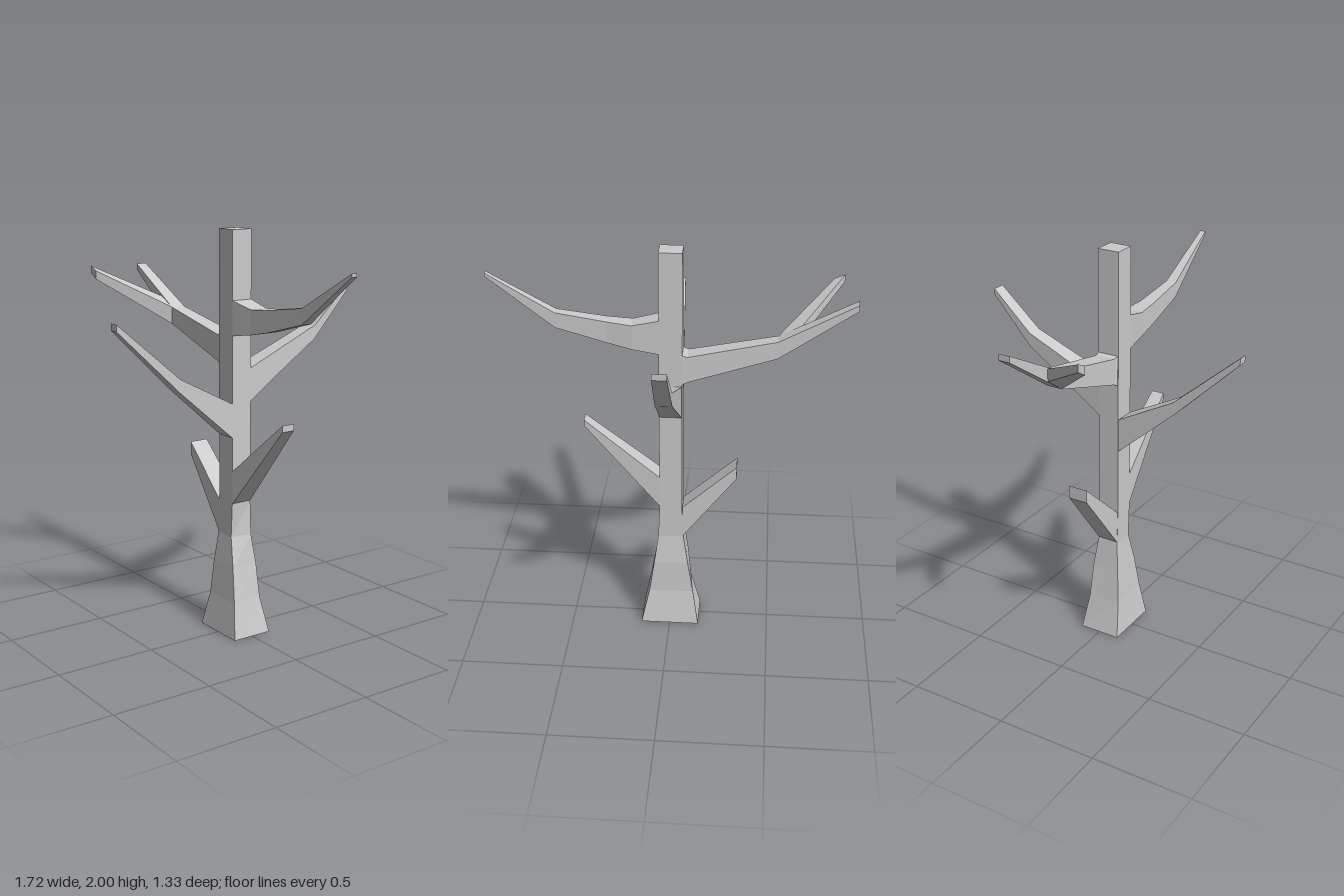
import * as THREE from 'three';

const material = new THREE.MeshStandardMaterial({ color: 0xcccccc, flatShading: true });

// Closed, faceted skin over a row of four-cornered rings [[x,y,z] * 4]
function loft(name, rings) {
  const tris = [];
  const quad = (a, b, c, d) => tris.push([a, b, c], [a, c, d]);
  for (let i = 0; i < rings.length - 1; i++) {
    for (let j = 0; j < 4; j++) {
      const k = (j + 1) % 4;
      quad(rings[i][j], rings[i][k], rings[i + 1][k], rings[i + 1][j]);
    }
  }
  const first = rings[0], last = rings[rings.length - 1];
  quad(first[3], first[2], first[1], first[0]);
  quad(...last);

  // Turn the faces outwards whichever way the rings run
  let volume = 0;
  for (const [a, b, c] of tris) {
    const v = new THREE.Vector3(...b).cross(new THREE.Vector3(...c));
    volume += v.dot(new THREE.Vector3(...a));
  }
  if (volume < 0) tris.forEach((t) => t.reverse());

  const geometry = new THREE.BufferGeometry();
  geometry.setAttribute('position', new THREE.Float32BufferAttribute(tris.flat(2), 3));
  geometry.computeVertexNormals();
  const mesh = new THREE.Mesh(geometry, material);
  mesh.name = name;
  return mesh;
}

// Branch growing along x or z; stations are [distance, bottom, top, sideMin, sideMax]
function branch(name, axis, stations) {
  const rings = stations.map(([d, lo, hi, s0, s1]) =>
    [[s0, lo], [s1, lo], [s1, hi], [s0, hi]].map(([s, y]) => (axis === 'x' ? [d, y, s] : [s, y, d])));
  return loft(name, rings);
}

export function createModel() {
  const tree = new THREE.Group();
  tree.name = 'bareTree';

  // Trunk: [y, front left x, front right x, back right x, back left x, front z, back z]
  const trunk = [
    [0, -0.147, 0.145, 0.145, -0.147, 0.105, -0.105],
    [0.18, -0.1, 0.11, 0.105, -0.118, 0.083, -0.075],
    [0.35, -0.085, 0.08, 0.08, -0.09, 0.07, -0.07],
    [0.5, -0.066, 0.043, 0.06, -0.066, 0.055, -0.053],
    [0.67, -0.058, 0.053, 0.053, -0.058, 0.055, -0.053],
    [2, -0.055, 0.055, 0.055, -0.055, 0.055, -0.055],
  ];
  tree.add(loft('trunk', trunk.map(([y, fl, fr, br, bl, f, b]) =>
    [[fl, y, f], [fr, y, f], [br, y, b], [bl, y, b]])));

  // Branches to the sides
  tree.add(branch('lowerLeftBranch', 'x', [
    [0.05, 0.67, 0.835, -0.053, 0.054],
    [0.42, 1.1, 1.132, -0.033, 0.033],
  ]));
  tree.add(branch('lowerRightBranch', 'x', [
    [-0.06, 0.5, 0.67, -0.053, 0.054],
    [-0.325, 0.845, 0.91, -0.053, 0.046],
  ]));
  tree.add(branch('upperLeftBranch', 'x', [
    [0.05, 1.5, 1.67, -0.054, 0.054],
    [0.18, 1.52, 1.64, -0.05, 0.042],
    [0.3, 1.545, 1.65, -0.035, 0.036],
    [0.54, 1.61, 1.685, -0.028, 0.025],
    [0.86, 1.85, 1.866, -0.014, 0.014],
  ]));
  tree.add(branch('upperRightBranch', 'x', [
    [-0.05, 1.345, 1.5, -0.054, 0.054],
    [-0.08, 1.36, 1.49, -0.052, 0.045],
    [-0.5, 1.49, 1.575, -0.037, 0.037],
    [-0.86, 1.735, 1.765, -0.03, 0.025],
  ]));

  // Twig forking forward from the upper right branch
  tree.add(loft('twig', [
    [[-0.6, 1.56, 0.03], [-0.5, 1.49, 0.035], [-0.5, 1.575, 0.035], [-0.6, 1.62, 0.03]],
    [[-0.81, 1.74, 0.327], [-0.76, 1.712, 0.327], [-0.76, 1.755, 0.327], [-0.81, 1.776, 0.327]],
  ]));

  // Branches to the front and back
  tree.add(branch('frontBranch', 'z', [
    [0.05, 1, 1.17, -0.054, 0.054],
    [0.34, 1.255, 1.322, -0.04, 0.04],
    [0.667, 1.572, 1.605, -0.025, 0.025],
  ]));
  tree.add(branch('backBranch', 'z', [
    [-0.05, 1.17, 1.335, -0.054, 0.054],
    [-0.23, 1.29, 1.41, -0.047, 0.045],
    [-0.46, 1.44, 1.507, -0.04, 0.038],
    [-0.667, 1.665, 1.695, -0.033, 0.033],
  ]));

  return tree;
}
